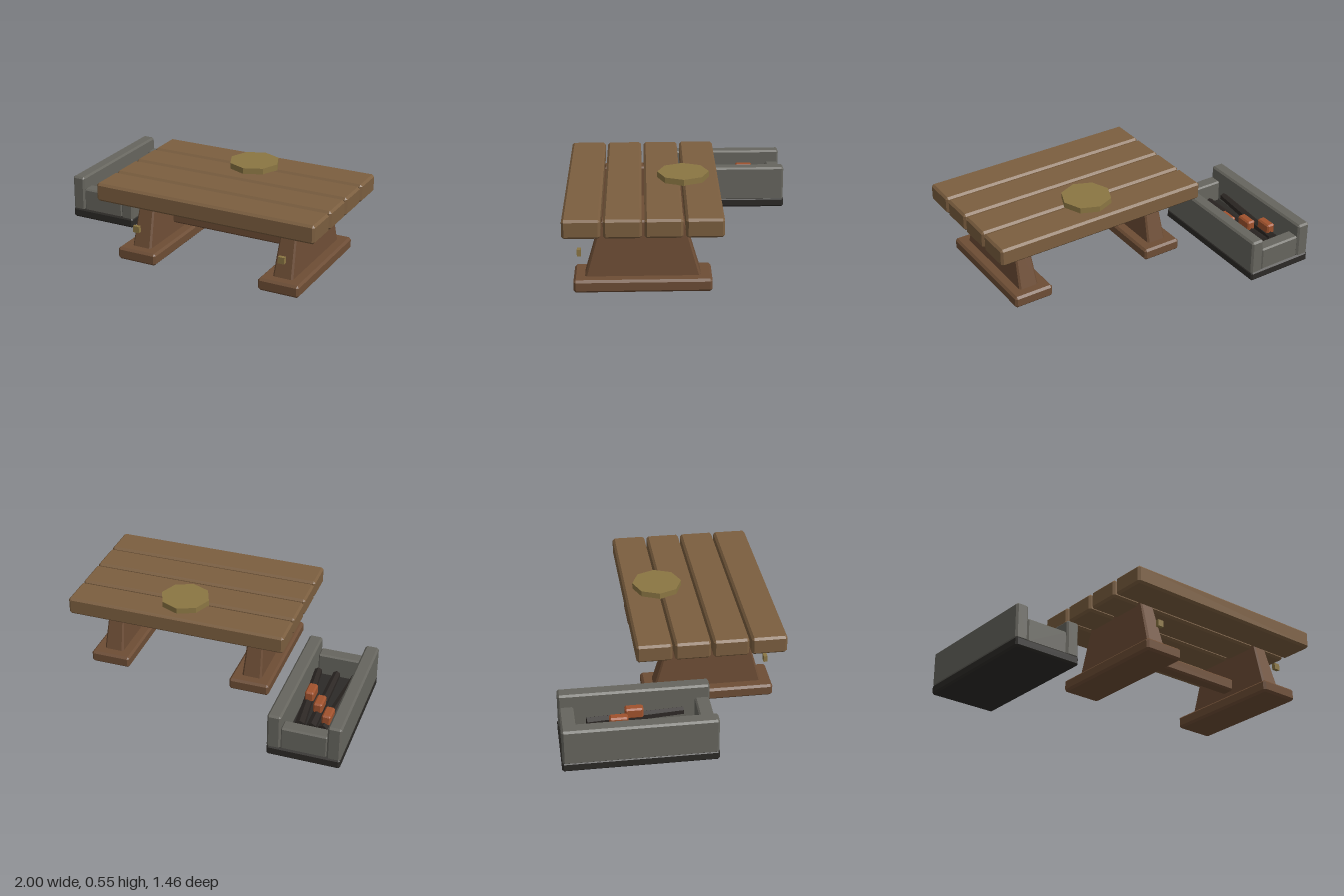
import * as THREE from 'three';
import { ConvexGeometry } from 'three/addons/geometries/ConvexGeometry.js';

const mat = (color) => new THREE.MeshStandardMaterial({ color, flatShading: true });

// Box with chamfered edges; the top may be narrower than the bottom.
function chamferBox(w, h, d, c, topW = 1, topD = 1) {
  const points = [];
  for (const sx of [-1, 1]) for (const sy of [-1, 1]) for (const sz of [-1, 1]) {
    for (let axis = 0; axis < 3; axis++) {
      const x = sx * (w / 2 - (axis === 0 ? 0 : c));
      const y = sy * (h / 2 - (axis === 1 ? 0 : c));
      const z = sz * (d / 2 - (axis === 2 ? 0 : c));
      const t = y / h + 0.5;
      points.push(new THREE.Vector3(x * (1 + (topW - 1) * t), y, z * (1 + (topD - 1) * t)));
    }
  }
  return new ConvexGeometry(points);
}

export function createModel() {
  const plankWood = mat(0x7b5e3f);
  const legWood = mat(0x6d4d35);
  const brass = mat(0x8b7643);
  const stone = mat(0x66655e);
  const soot = mat(0x2c2a27);
  const charred = mat(0x2b2623);
  const glow = mat(0xa0522d);

  const model = new THREE.Group();
  const table = new THREE.Group();
  table.name = 'table';
  const firePit = new THREE.Group();
  firePit.name = 'firePit';
  model.add(table, firePit);

  const add = (parent, name, geometry, material, x, y, z) => {
    const mesh = new THREE.Mesh(geometry, material);
    mesh.name = name;
    mesh.position.set(x, y, z);
    parent.add(mesh);
    return mesh;
  };

  // Table top: four planks
  for (let i = 0; i < 4; i++) {
    add(table, 'plank', chamferBox(1.475, 0.118, 0.226, 0.014), plankWood, 0.262, 0.453, -0.105 + i * 0.242);
  }

  // Trestles: foot, tapered leg and a peg in front
  for (const x of [-0.23, 0.75]) {
    add(table, 'foot', chamferBox(0.27, 0.08, 0.835, 0.014), legWood, x, 0.04, 0.262);
    add(table, 'leg', chamferBox(0.135, 0.37, 0.71, 0.012, 0.7, 0.7), legWood, x, 0.245, 0.262);
    add(table, 'peg', new THREE.BoxGeometry(0.042, 0.042, 0.024), brass, x - 0.01 + (x > 0 ? 0.02 : 0), 0.217, 0.647);
  }
  add(table, 'stretcher', chamferBox(0.96, 0.085, 0.09, 0.012), legWood, 0.26, 0.188, 0.262);

  // Octagonal plate on the table
  add(table, 'plate', new THREE.CylinderGeometry(0.163, 0.163, 0.04, 8), brass, 0.26, 0.53, 0.003);

  // Fire pit: base slab, high side walls, low end walls
  const cx = -0.767, cz = -0.253;
  add(firePit, 'base', chamferBox(0.466, 0.066, 0.955, 0.012), soot, cx, 0.033, cz);
  for (const s of [-1, 1]) {
    add(firePit, 'sideWall', chamferBox(0.088, 0.24, 0.945, 0.012), stone, cx + s * 0.189, 0.172, cz);
    add(firePit, 'endWall', chamferBox(0.295, 0.16, 0.09, 0.01), stone, cx, 0.132, cz + s * 0.422);
  }

  // Logs fanning out towards the front, each with an ember
  for (let i = -1; i <= 1; i++) {
    const back = new THREE.Vector3(cx + i * 0.072, 0.135, -0.555);
    const front = new THREE.Vector3(cx + i * 0.123, 0.135, 0.05);
    const axis = front.clone().sub(back);
    const mid = back.clone().add(front).multiplyScalar(0.5);
    const log = add(firePit, 'log', new THREE.CylinderGeometry(0.026, 0.034, axis.length(), 6), charred, mid.x, mid.y, mid.z);
    log.quaternion.setFromUnitVectors(new THREE.Vector3(0, 1, 0), axis.normalize());
    add(firePit, 'ember', chamferBox(0.058, 0.07, 0.115, 0.01), glow, cx + i * 0.083, 0.183, -0.365 + i * 0.103);
  }

  return model;
}
